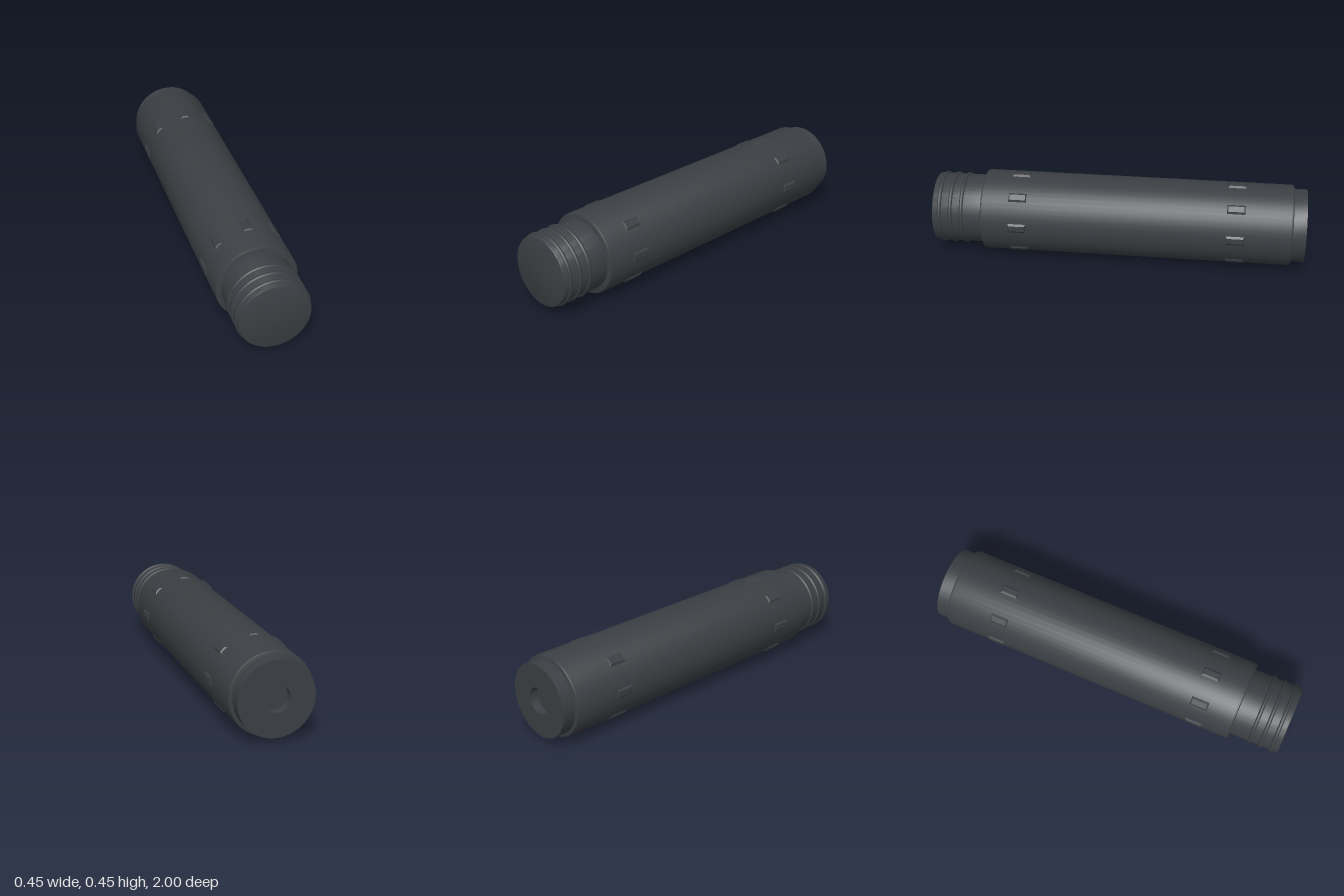
import * as THREE from 'three';
import { toCreasedNormals } from 'three/addons/utils/BufferGeometryUtils.js';

const material = new THREE.MeshStandardMaterial({ color: 0x3b3f43 });
const SIDES = 48;

function addPart(parent, name, geometry) {
  const mesh = new THREE.Mesh(geometry, material);
  mesh.name = name;
  parent.add(mesh);
  return mesh;
}

// Turned solid along z from [radius, z] points, listed back to front
function turned(points) {
  const profile = points.map(([r, z]) => new THREE.Vector2(r, z));
  const geometry = new THREE.LatheGeometry(profile, SIDES).rotateX(Math.PI / 2);
  return toCreasedNormals(geometry, 0.5);
}

// Grip stud: a low block whose upper face is narrower than its base
function studGeometry() {
  const geometry = new THREE.BoxGeometry(1, 1, 1);
  const p = geometry.attributes.position;
  for (let i = 0; i < p.count; i++) {
    const top = p.getY(i) > 0;
    p.setXYZ(i,
      Math.sign(p.getX(i)) * (top ? 0.015 : 0.031),
      top ? 0.223 : 0.209,
      Math.sign(p.getZ(i)) * (top ? 0.042 : 0.052));
  }
  geometry.computeVertexNormals();
  return geometry;
}

export function createModel() {
  const model = new THREE.Group();
  model.name = 'cylinderHandle';
  const axis = new THREE.Group();
  axis.name = 'turnedParts';
  axis.position.y = 0.224;
  model.add(axis);

  // Main barrel with softened rims
  addPart(axis, 'barrel', turned([
    [0, -0.93], [0.206, -0.93], [0.213, -0.927], [0.216, -0.918],
    [0.216, 0.718], [0.213, 0.727], [0.206, 0.73], [0, 0.73],
  ]));

  // Rear collar with a blind hole
  addPart(axis, 'rearCollar', turned([
    [0, -0.955], [0.07, -0.955], [0.07, -1], [0.195, -1], [0.195, -0.92],
  ]));

  // Front neck with a small rim chamfer
  addPart(axis, 'frontNeck', turned([
    [0.185, 0.72], [0.185, 0.992], [0.182, 0.998], [0.177, 1], [0, 1],
  ]));

  // Raised rings around the neck
  for (const z of [0.84, 0.9, 0.96]) {
    addPart(axis, 'neckRing', new THREE.TorusGeometry(0.183, 0.011, 10, SIDES)).position.z = z;
  }

  // Two bands of eight grip studs
  const stud = studGeometry();
  for (const z of [0.53, -0.63]) {
    const band = new THREE.Group();
    band.name = z > 0 ? 'frontStudBand' : 'rearStudBand';
    band.position.z = z;
    axis.add(band);
    for (let i = 0; i < 8; i++) {
      addPart(band, 'gripStud', stud).rotation.z = (i * Math.PI) / 4;
    }
  }
  return model;
}
